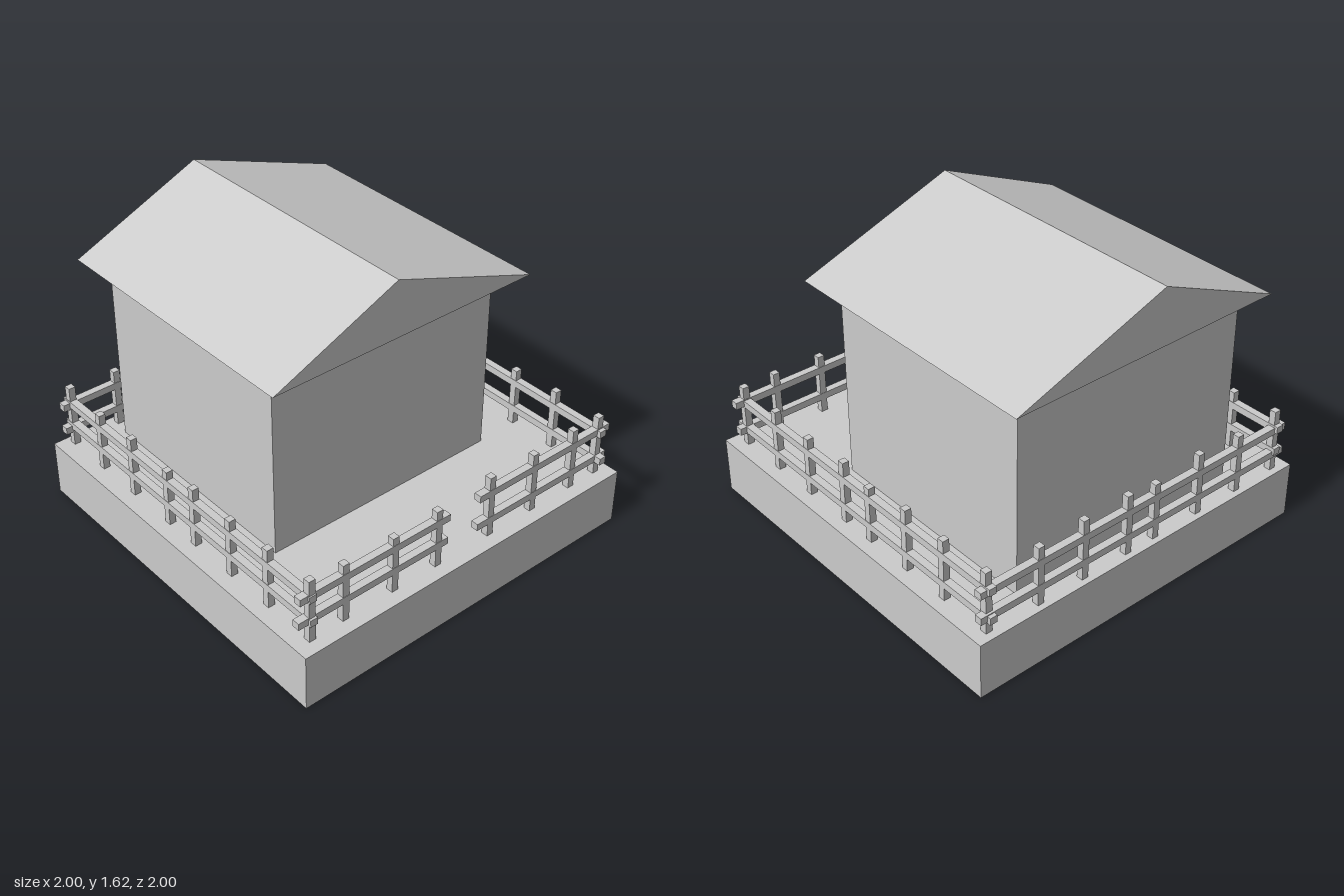
import * as THREE from 'three';

const material = new THREE.MeshStandardMaterial({ color: 0xcccccc, flatShading: true });
const openMaterial = new THREE.MeshStandardMaterial({ color: 0xcccccc, flatShading: true, side: THREE.DoubleSide });

// Box given by its minimum and maximum corners
function box(name, [x0, y0, z0], [x1, y1, z1]) {
  const geometry = new THREE.BoxGeometry(x1 - x0, y1 - y0, z1 - z0);
  geometry.translate((x0 + x1) / 2, (y0 + y1) / 2, (z0 + z1) / 2);
  const mesh = new THREE.Mesh(geometry, material);
  mesh.name = name;
  return mesh;
}

const DECK = 0.3;
const POST = 0.018; // half width of a post
const RAIL = 0.02; // half width of a rail

// Straight fence: posts are [position, top], rails are [start, end, centre height]
function fence(name, axis, offset, posts, rails) {
  const group = new THREE.Group();
  group.name = name;
  const corner = (along, y, across) => (axis === 'x' ? [along, y, offset + across] : [offset + across, y, along]);
  for (const [p, top] of posts) {
    group.add(box('fencePost', corner(p - POST, DECK - 0.01, -POST), corner(p + POST, top, POST)));
  }
  for (const [start, end, y] of rails) {
    group.add(box('fenceRail', corner(start, y - 0.019, -RAIL), corner(end, y + 0.019, RAIL)));
  }
  return group;
}

export function createModel() {
  const model = new THREE.Group();
  model.name = 'fencedHouse';

  // Hollow platform: four walls and a deck, open underneath
  const platform = new THREE.Group();
  platform.name = 'platform';
  const deck = new THREE.Mesh(new THREE.PlaneGeometry(2, 2).rotateX(-Math.PI / 2), openMaterial);
  deck.name = 'deck';
  deck.position.y = DECK;
  platform.add(deck);
  for (let i = 0; i < 4; i++) {
    const wall = new THREE.Mesh(new THREE.PlaneGeometry(2, DECK).translate(0, DECK / 2, 1), openMaterial);
    wall.name = 'platformWall';
    wall.rotation.y = (i * Math.PI) / 2;
    platform.add(wall);
  }
  model.add(platform);

  // House body
  model.add(box('houseWalls', [-0.67, DECK - 0.01, -0.85], [0.665, 1.33, 0.38]));

  // Gabled roof, overhanging most at the front
  const gable = new THREE.Shape([
    new THREE.Vector2(-0.79, 1.325),
    new THREE.Vector2(0.75, 1.325),
    new THREE.Vector2(-0.09, 1.625),
  ]);
  const roof = new THREE.Mesh(new THREE.ExtrudeGeometry(gable, { depth: 1.485, bevelEnabled: false }), material);
  roof.name = 'roof';
  roof.position.z = -0.94;
  model.add(roof);

  // Fences, with a gateway in the front
  model.add(
    fence('frontFenceRight', 'x', 0.91,
      [[-0.71, 0.62], [-0.42, 0.61], [-0.155, 0.62]],
      [[-0.97, -0.09, 0.55], [-0.98, -0.1, 0.42]]),
    fence('frontFenceLeft', 'x', 0.91,
      [[0.18, 0.64], [0.465, 0.63], [0.735, 0.64]],
      [[0.1, 0.98, 0.55], [0.09, 0.97, 0.39]]),
    fence('backFence', 'x', -0.95,
      [[-0.64, 0.62], [-0.37, 0.64], [-0.085, 0.61], [0.09, 0.63], [0.36, 0.63], [0.625, 0.62]],
      [[-0.96, 0.97, 0.535], [-0.96, 0.97, 0.395]]),
    fence('leftFence', 'z', 0.915,
      [[-0.94, 0.635], [-0.655, 0.63], [-0.39, 0.64], [-0.12, 0.605], [0.075, 0.64], [0.36, 0.62], [0.63, 0.635], [0.91, 0.635]],
      [[-0.985, 0.95, 0.545], [-0.99, 0.965, 0.39]]),
    fence('rightFence', 'z', -0.905,
      [[-0.945, 0.64], [-0.68, 0.62], [-0.41, 0.63], [-0.12, 0.61], [0.085, 0.63], [0.36, 0.62], [0.63, 0.63], [0.915, 0.645]],
      [[-0.985, 0.94, 0.545], [-0.98, 0.945, 0.415]]),
  );

  return model;
}
